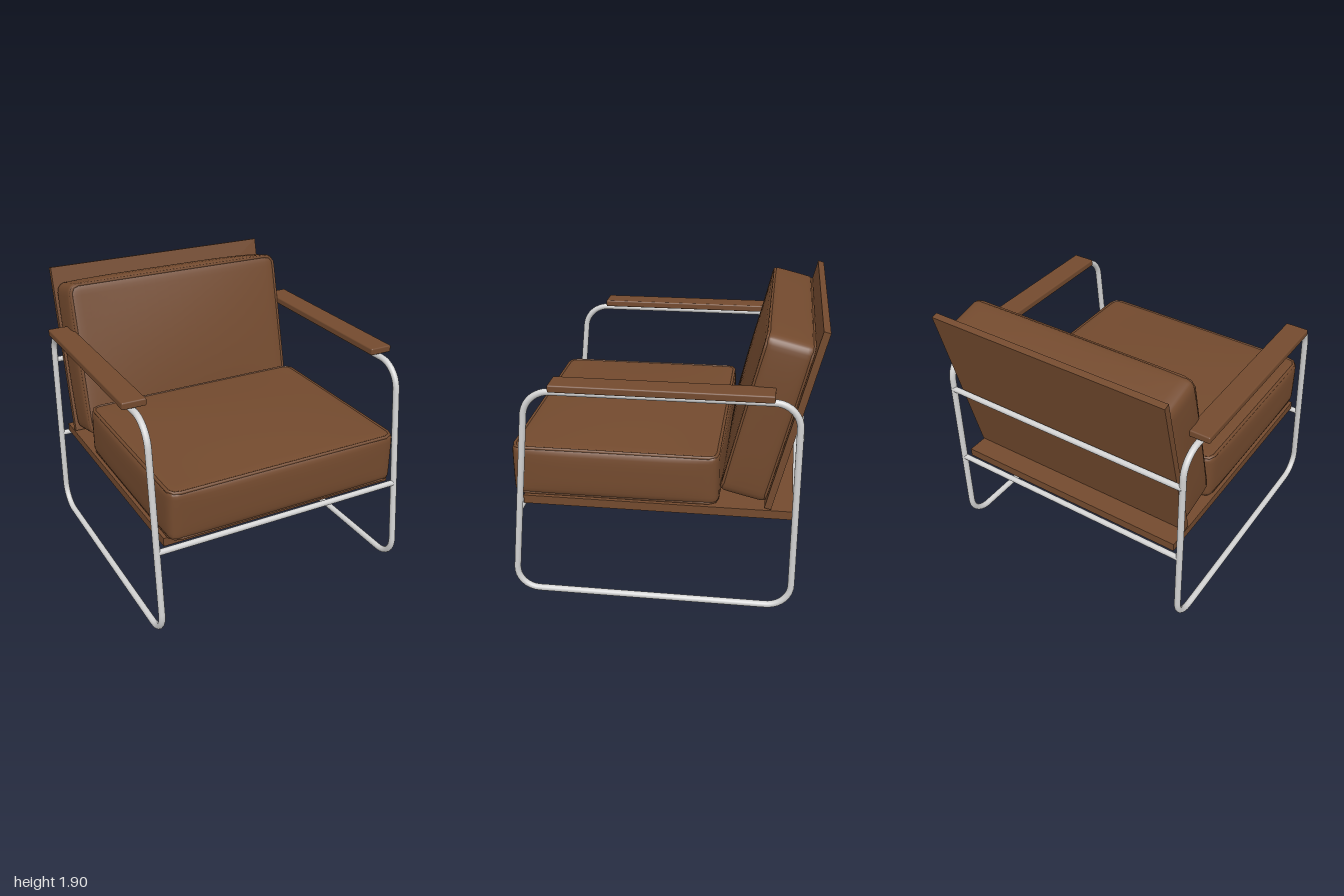
import * as THREE from 'three';
import { mergeVertices } from 'three/addons/utils/BufferGeometryUtils.js';
import { RoundedBoxGeometry } from 'three/addons/geometries/RoundedBoxGeometry.js';

const brown = new THREE.MeshStandardMaterial({ color: 0x734a2e });
brown.name = 'brown';
const steel = new THREE.MeshStandardMaterial({ color: 0xd2d2d2 });
steel.name = 'steel';

function add(parent, name, geometry, material, x = 0, y = 0, z = 0) {
  const mesh = new THREE.Mesh(geometry, material);
  mesh.name = name;
  mesh.position.set(x, y, z);
  parent.add(mesh);
  return mesh;
}

// Closed tube through corner points, each corner rounded by the given radius
function loopTube(corners, cornerRadius, tubeRadius, segments, sides) {
  const path = new THREE.CurvePath();
  const n = corners.length;
  const arcs = corners.map((c, i) => {
    const toward = (o) => c.clone().add(o.clone().sub(c).setLength(cornerRadius));
    return { c, a: toward(corners[(i + n - 1) % n]), b: toward(corners[(i + 1) % n]) };
  });
  arcs.forEach(({ b }, i) => {
    const next = arcs[(i + 1) % n];
    path.add(new THREE.LineCurve3(b, next.a));
    path.add(new THREE.CubicBezierCurve3(
      next.a, next.a.clone().lerp(next.c, 0.55), next.b.clone().lerp(next.c, 0.55), next.b));
  });
  return new THREE.TubeGeometry(path, segments, tubeRadius, sides, true);
}

// Box with rounded edges, a crowned top and softly swollen sides
function cushionGeometry(hx, hy, hz, crown, swell) {
  const g = new THREE.BoxGeometry(2, 2, 2, 28, 16, 28);
  g.deleteAttribute('uv');
  g.deleteAttribute('normal');
  const merged = mergeVertices(g, 1e-4);
  const pos = merged.attributes.position;
  const half = new THREE.Vector3(hx, hy, hz);
  const radii = new THREE.Vector3(0.06, 0.025, 0.06);
  const inner = half.clone().sub(radii);
  const p = new THREE.Vector3();
  for (let i = 0; i < pos.count; i++) {
    p.fromBufferAttribute(pos, i);
    // crowd the grid toward the edges, then round them
    p.set(...p.toArray().map((v) => Math.sin(v * Math.PI / 2))).multiply(half);
    const core = p.clone().clamp(inner.clone().negate(), inner);
    p.sub(core).divide(radii);
    if (p.lengthSq() > 0) p.normalize();
    p.multiply(radii).add(core);
    const u = p.x / hx, v = p.y / hy, w = p.z / hz;
    const side = swell * (1 - v ** 4);
    p.x += u * side * (1 - w ** 4);
    p.z += w * side * (1 - u ** 4);
    if (v > 0) p.y += v * crown * (1 - u * u) * (1 - w * w);
    pos.setXYZ(i, p.x, p.y, p.z);
  }
  merged.computeVertexNormals();
  return merged;
}

// Cushion body with a piping cord round its upper and lower edges
function makeCushion(name, hx, hy, hz, crown, swell) {
  const group = new THREE.Group();
  group.name = name;
  add(group, name + 'Body', cushionGeometry(hx, hy, hz, crown, swell), brown);
  const x = hx - 0.01, z = hz - 0.01;
  const corners = [[x, z], [-x, z], [-x, -z], [x, -z]].map(([a, b]) => new THREE.Vector3(a, 0, b));
  for (const s of [1, -1]) {
    add(group, name + 'Piping', loopTube(corners, 0.06, 0.011, 120, 8), brown, 0, s * (hy - 0.01), 0);
  }
  return group;
}

export function createModel() {
  const chair = new THREE.Group();
  chair.name = 'armchair';

  // Steel side loops and armrests
  const sideCorners = [[0.022, 0.988], [0.022, -0.857], [1.465, -0.857], [1.465, 0.838]]
    .map(([y, z]) => new THREE.Vector3(0, y, z));
  const loop = loopTube(sideCorners, 0.16, 0.022, 200, 14);
  for (const [s, side] of [[1, 'left'], [-1, 'right']]) {
    add(chair, side + 'SideFrame', loop, steel, s * 0.9, 0, 0);
    add(chair, side + 'Armrest', new RoundedBoxGeometry(0.16, 0.048, 1.37, 3, 0.01), brown,
      s * 0.898, 1.514, -0.015);
  }

  // Cross bars joining the side loops
  const bar = new THREE.CylinderGeometry(0.02, 0.02, 1.8, 14);
  bar.rotateZ(Math.PI / 2);
  add(chair, 'frontSeatBar', bar, steel, 0, 0.62, 0.927);
  add(chair, 'rearSeatBar', bar, steel, 0, 0.62, -0.857);
  add(chair, 'backBar', bar, steel, 0, 1.23, -0.862);

  // Seat board and reclined back board
  add(chair, 'seatBoard', new THREE.BoxGeometry(1.69, 0.058, 1.75), brown, 0, 0.67, 0.035);
  const tilt = THREE.MathUtils.degToRad(14);
  const back = add(chair, 'backBoard', new THREE.BoxGeometry(1.69, 1.22, 0.044), brown, 0, 1.303, -0.829);
  back.rotation.x = -tilt;

  // Cushions
  const seat = makeCushion('seatCushion', 0.825, 0.17, 0.672, 0.035, 0.018);
  seat.position.set(0, 0.87, 0.308);
  chair.add(seat);
  const backCushion = makeCushion('backCushion', 0.825, 0.15, 0.545, 0.03, 0.018);
  backCushion.position.set(0, 1.295, -0.646);
  backCushion.rotation.x = Math.PI / 2 - tilt;
  chair.add(backCushion);

  return chair;
}
